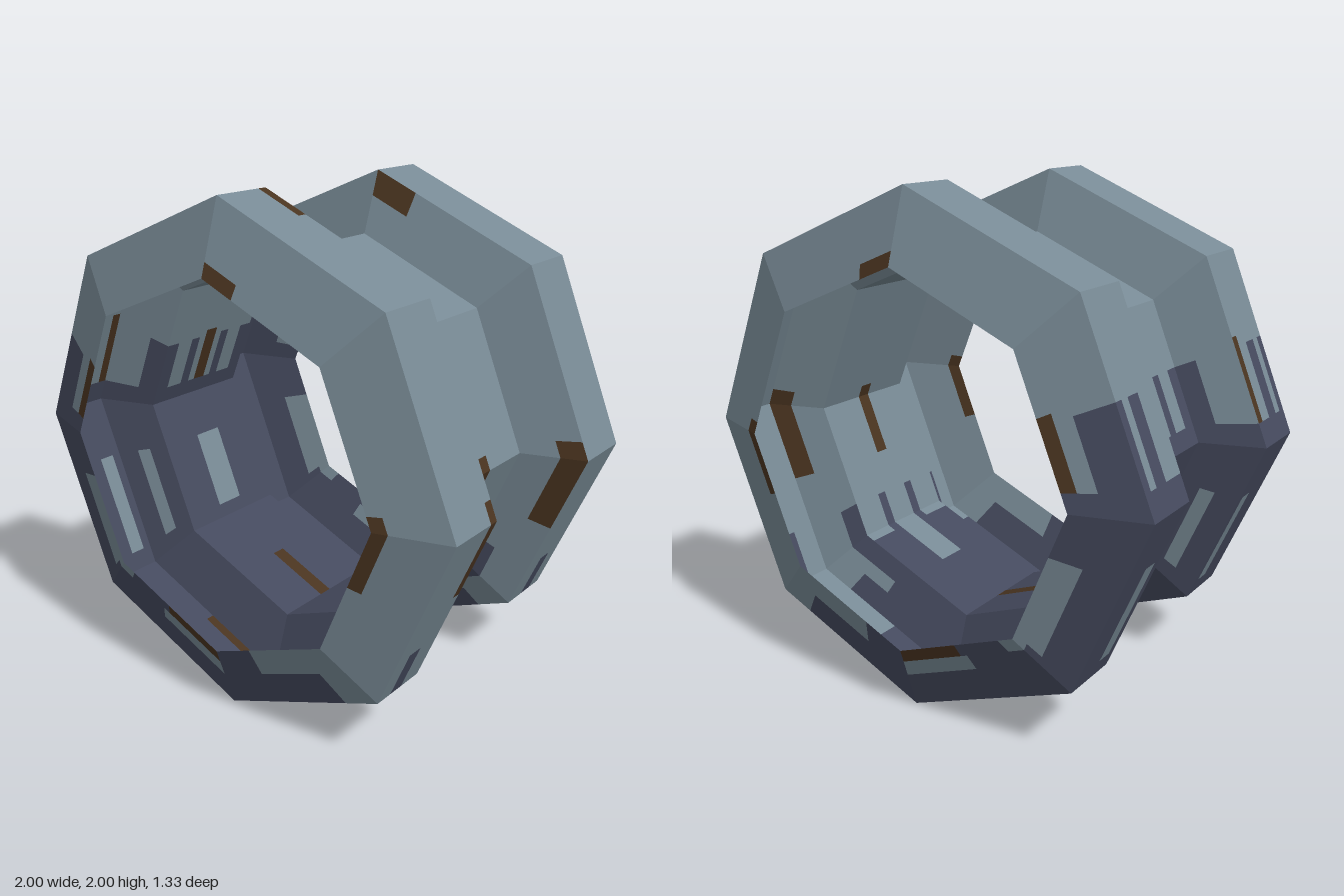
import * as THREE from 'three';

// Positions round the ring are measured in facets: 0 is +x, 2 is the top, 4 is -x, 6 is the bottom.
const SIDES = 8;
const RUST = [[0, 0.1], [1.74, 2], [3.42, 3.87], [5.5, 6], [7.55, 8]];

// Paint strips across a section: v range, navy stretches round the ring, rust or not.
const strip = (v0, v1, navy, rust = false) => ({ v0, v1, navy, rust });

const lipStrips = [
  strip(0, 0.2, [[3.87, 4.33], [5.12, 5.5], [6, 6.33]], true),
  strip(0.2, 0.45, [[3.87, 4.33], [4.95, 5.45], [6, 6.33]]),
  strip(0.45, 1, [[3.47, 6.8]]),
];
const rimStrips = (rust) => [
  strip(0, 0.15, [[3.87, 6.45]], rust),
  strip(0.15, 0.42, [[3.87, 4.33], [4.9, 6.45]]),
  strip(0.42, 0.69, [[3.47, 7.27]]),
  strip(0.69, 0.85, [[3.87, 6.87]]),
  strip(0.85, 1, [[3.47, 6.87]]),
];
const shoulderStrips = (rust) => [
  strip(0, 0.35, [[3.47, 7.25]]),
  strip(0.35, 0.6, [[3.87, 4.33], [4.9, 6.6]]),
  strip(0.6, 1, [[3.87, 6.8]], rust),
];
const drumStrips = [
  strip(0, 0.12, [[3.87, 4.33], [4.9, 6.5]], true),
  strip(0.12, 0.26, [[3.87, 4.33], [4.9, 6.5]]),
  strip(0.26, 0.44, [[3.47, 7.25]]),
  strip(0.44, 0.75, [[3.87, 6.93]]),
  strip(0.75, 1, [[3.47, 6.93]]),
];

// Point on a flat-sided ring
function ringPoint(a, z, r) {
  const k = Math.floor(a);
  const t = a - k;
  const a0 = (k * 2 * Math.PI) / SIDES;
  const a1 = ((k + 1) * 2 * Math.PI) / SIDES;
  return [
    r * (Math.cos(a0) * (1 - t) + Math.cos(a1) * t),
    1 + r * (Math.sin(a0) * (1 - t) + Math.sin(a1) * t),
    z,
  ];
}

const inside = (runs, a) => runs.some(([s, e]) => a > s && a < e);

// One section of the shell, from (z, r) to (z, r), split into faces by colour
function section(name, from, to, strips, materials) {
  const group = new THREE.Group();
  group.name = name;
  const faces = { steel: [], navy: [], rust: [] };
  const at = (a, v) => ringPoint(a, from[0] + (to[0] - from[0]) * v, from[1] + (to[1] - from[1]) * v);
  for (const s of strips) {
    const stops = new Set([...Array(SIDES + 1).keys(), ...s.navy.flat(), ...(s.rust ? RUST.flat() : [])]);
    const cuts = [...stops].sort((p, q) => p - q);
    for (let i = 0; i < cuts.length - 1; i++) {
      const [a0, a1] = [cuts[i], cuts[i + 1]];
      const mid = (a0 + a1) / 2;
      const colour = s.rust && inside(RUST, mid) ? 'rust' : inside(s.navy, mid) ? 'navy' : 'steel';
      const quad = [at(a0, s.v0), at(a1, s.v0), at(a1, s.v1), at(a0, s.v1)];
      if (to[0] < from[0]) quad.reverse();
      const [p, q, r, w] = quad;
      faces[colour].push(...p, ...q, ...r, ...p, ...r, ...w);
    }
  }
  for (const [colour, points] of Object.entries(faces)) {
    if (!points.length) continue;
    const geometry = new THREE.BufferGeometry();
    geometry.setAttribute('position', new THREE.Float32BufferAttribute(points, 3));
    geometry.computeVertexNormals();
    const mesh = new THREE.Mesh(geometry, materials[colour]);
    mesh.name = `${name} ${colour}`;
    group.add(mesh);
  }
  return group;
}

export function createModel() {
  const make = (name, color) => {
    const m = new THREE.MeshStandardMaterial({ color, side: THREE.DoubleSide });
    m.name = name;
    return m;
  };
  const materials = {
    steel: make('blue grey steel', 0x788a95),
    navy: make('dark navy', 0x454a5e),
    rust: make('rust brown', 0x4a3420),
  };

  const model = new THREE.Group();
  model.name = 'flanged ring';

  // Open thin shell: each end has half the drum, a shoulder, a rim and a tapering lip
  for (const [end, side] of [['front', 1], ['back', -1]]) {
    const front = side > 0;
    const profile = [[0, 0.757], [0.25, 0.757], [0.335, 1], [0.58, 1], [0.667, 0.73]].map(([z, r]) => [z * side, r]);
    const [centre, drumEdge, rimIn, rimOut, lip] = profile;
    model.add(
      section(`${end} drum`, centre, drumEdge, drumStrips, materials),
      section(`${end} shoulder`, drumEdge, rimIn, shoulderStrips(!front), materials),
      section(`${end} rim`, rimIn, rimOut, rimStrips(front), materials),
      section(`${end} lip`, lip, rimOut, lipStrips, materials),
    );
  }
  return model;
}
